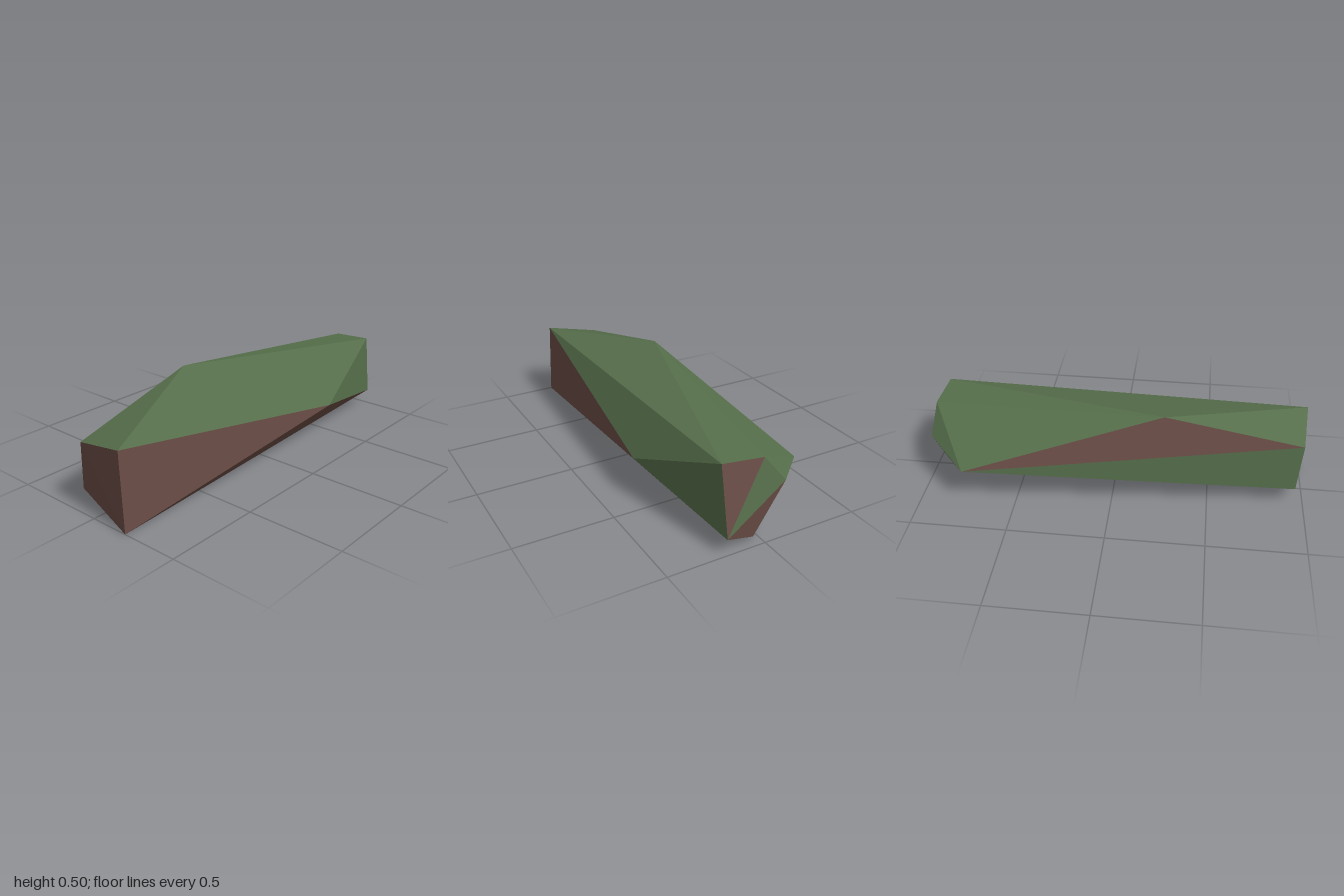
import * as THREE from 'three';

// Corner points of the faceted log
const P = {
  A: [-0.136, 0.502, 0.26],   // top ridge
  B: [-0.093, 0.343, 0.97],   // front end
  C: [0.192, 0.4, 1.0],
  D: [0.207, 0.0, 1.0],
  E: [-0.121, 0.093, 0.952],
  F: [-0.335, 0.222, -0.752], // side bulges
  G: [0.333, 0.21, -0.38],
  H: [0.208, 0.428, -0.938],  // back end
  I: [0.035, 0.016, -0.955],
  J: [0.203, 0.083, -1.0],
  K: [-0.115, 0.272, -0.967],
  L: [0.0, 0.413, -0.955],
};

const barkFaces = ['BED', 'BDC', 'CDG', 'DGJ', 'DJI', 'DEI', 'EFI', 'ABF', 'HLJ', 'KIJ'];
const mossFaces = ['ABC', 'ACH', 'CGH', 'HJG', 'AHL', 'ALF', 'LKF', 'BEF', 'LKJ', 'KIF'];

// Builds flat triangles, each turned to face away from the middle of the log
function facets(faces) {
  const middle = new THREE.Vector3(0, 0.23, 0);
  const points = [];
  for (const face of faces) {
    const [a, b, c] = [...face].map((k) => new THREE.Vector3(...P[k]));
    const normal = b.clone().sub(a).cross(c.clone().sub(a));
    const outward = normal.dot(a.clone().sub(middle)) > 0;
    points.push(...(outward ? [a, b, c] : [a, c, b]));
  }
  const geometry = new THREE.BufferGeometry().setFromPoints(points);
  geometry.computeVertexNormals();
  return geometry;
}

export function createModel() {
  const bark = new THREE.MeshStandardMaterial({ color: 0x6b4d46 });
  bark.name = 'bark brown';
  const moss = new THREE.MeshStandardMaterial({ color: 0x566f4b });
  moss.name = 'moss green';

  const log = new THREE.Group();
  log.name = 'mossyLog';
  for (const [name, faces, material] of [['bark', barkFaces, bark], ['moss', mossFaces, moss]]) {
    const mesh = new THREE.Mesh(facets(faces), material);
    mesh.name = name;
    log.add(mesh);
  }
  return log;
}
